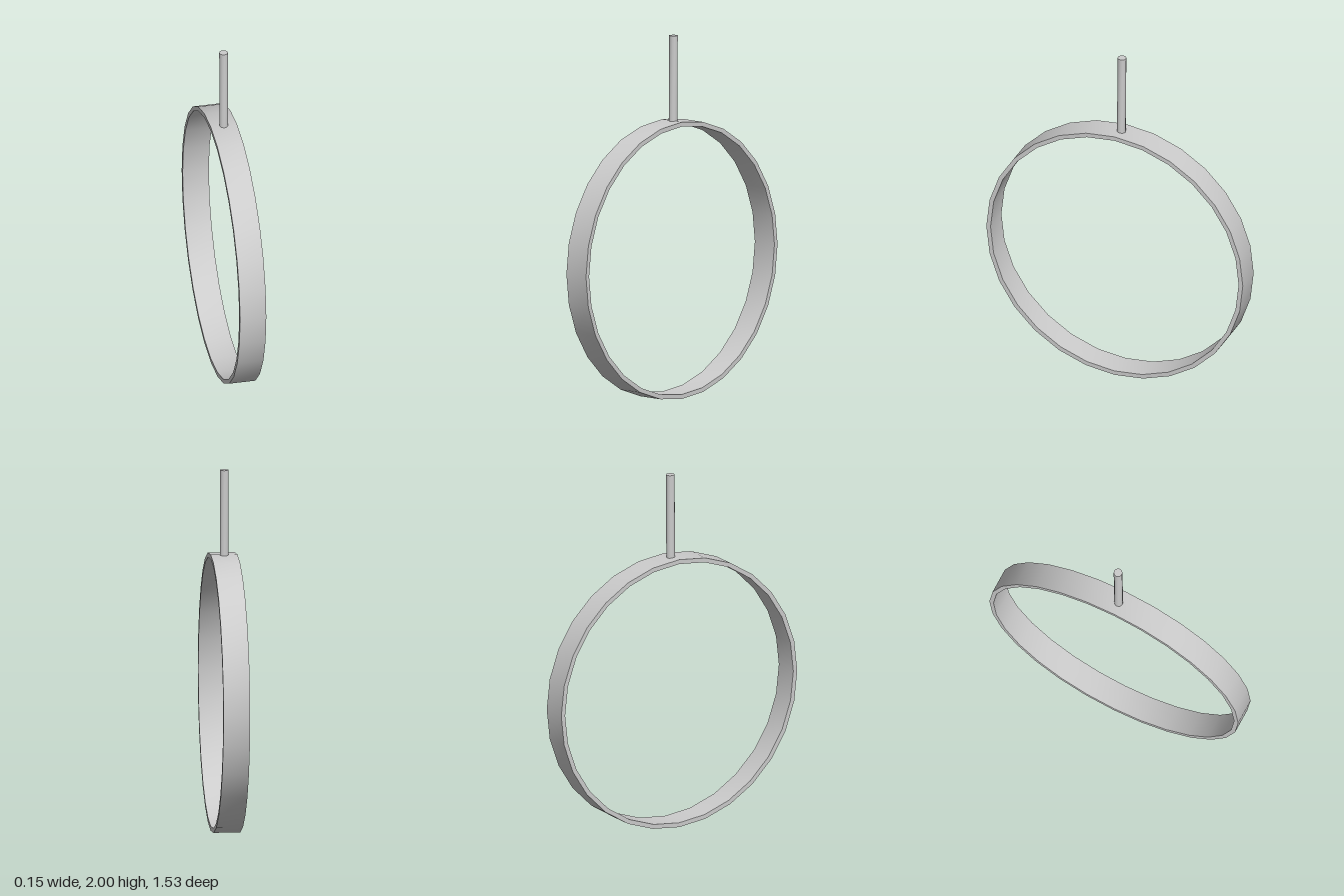
import * as THREE from 'three';
import { toCreasedNormals } from 'three/addons/utils/BufferGeometryUtils.js';

const OUTER = 0.765, INNER = 0.74, HALF_WIDTH = 0.073, SIDES = 28;

export function createModel() {
  const group = new THREE.Group();
  const material = new THREE.MeshStandardMaterial({ color: 0xcccccc });

  // Flat band: rectangular section turned around the x axis
  const section = [
    [INNER, -HALF_WIDTH], [OUTER, -HALF_WIDTH],
    [OUTER, HALF_WIDTH], [INNER, HALF_WIDTH], [INNER, -HALF_WIDTH],
  ].map(([r, w]) => new THREE.Vector2(r, w));
  const band = new THREE.LatheGeometry(section, SIDES);
  band.rotateZ(-Math.PI / 2);
  const ring = new THREE.Mesh(toCreasedNormals(band, 0.6), material);
  ring.name = 'ring';
  ring.position.y = OUTER;
  group.add(ring);

  // Thin stem on top, leaning back very slightly
  const bottom = 1.515, top = 2;
  const stemGeometry = new THREE.CylinderGeometry(0.024, 0.024, top - bottom, 12);
  const stem = new THREE.Mesh(toCreasedNormals(stemGeometry, 0.6), material);
  stem.name = 'stem';
  stem.position.set(0, (top + bottom) / 2, -0.01);
  stem.rotation.x = -0.008;
  group.add(stem);

  return group;
}
